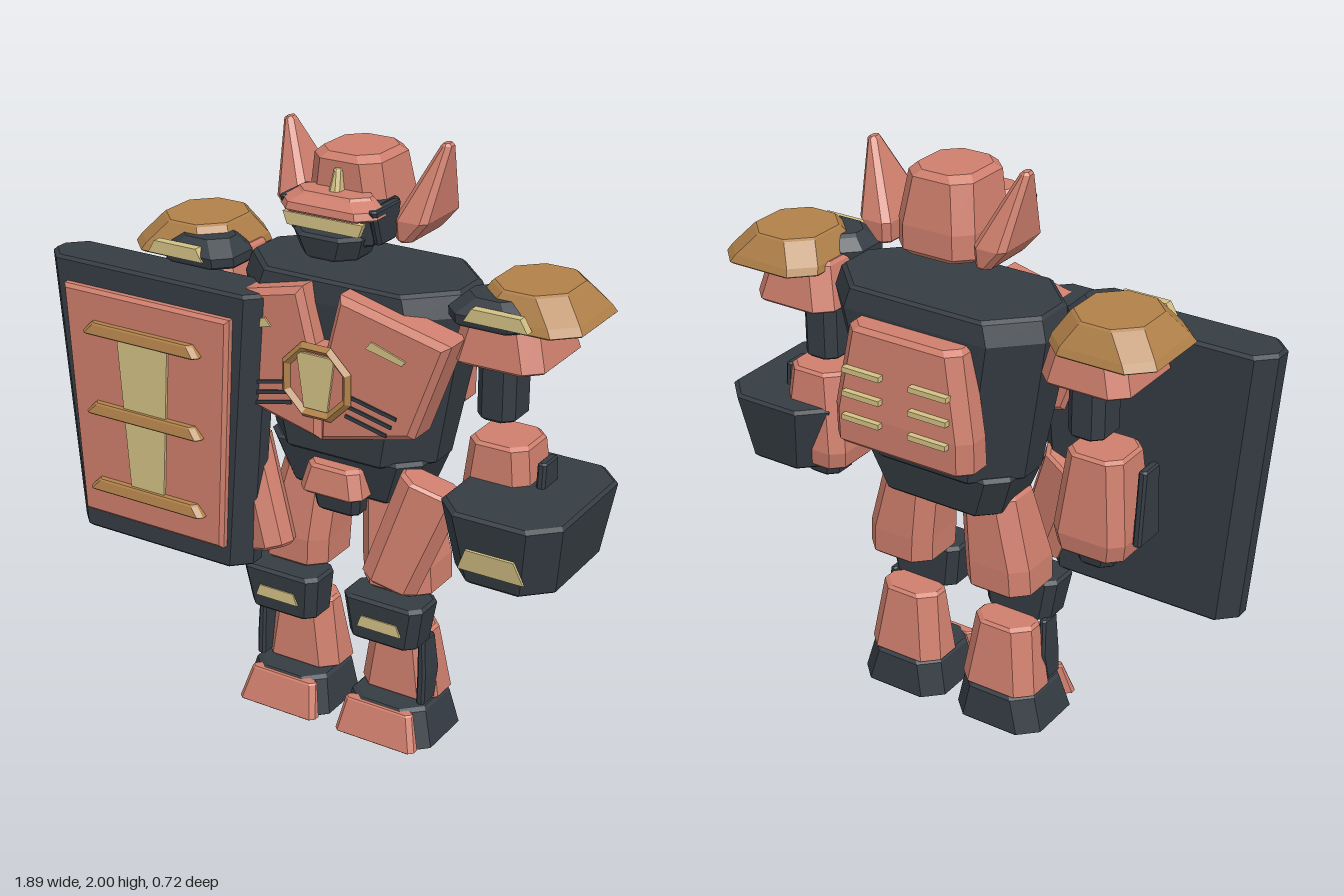
import * as THREE from 'three';

const paint = (name, color) => {
  const m = new THREE.MeshStandardMaterial({ color });
  m.name = name;
  m.flatShading = true;
  return m;
};

export function createModel() {
  const coral = paint('coral armour', 0xcf7f6d);
  const dark = paint('dark slate', 0x353c43);
  const bronze = paint('bronze', 0xb08049);
  const yellow = paint('pale yellow', 0xd3c184);

  const root = new THREE.Group();
  root.name = 'armouredRobot';
  const body = new THREE.Group();
  body.name = 'body';
  body.position.x = 0.08;
  root.add(body);

  const add = (parent, name, geo, mat) => {
    const mesh = new THREE.Mesh(geo, mat);
    mesh.name = name;
    parent.add(mesh);
    return mesh;
  };

  // Chamfered block lofted upwards through rings [y, x, z, width, depth]
  function block(parent, name, mat, rings, chamfer = 0.04, b = 0.01) {
    const n = rings.length;
    const inset = (r) => [r[0], r[1], r[2], r[3] - 2 * b, r[4] - 2 * b];
    const lift = (r, dy) => [r[0] + dy, r[1], r[2], r[3], r[4]];
    const all = [inset(rings[0]), lift(rings[0], b), ...rings.slice(1, n - 1),
      lift(rings[n - 1], -b), inset(rings[n - 1])];
    const pos = [], idx = [];
    for (const [y, x, z, w, d] of all) {
      const c = Math.min(chamfer, w * 0.4, d * 0.4), p = w / 2, q = d / 2;
      const pts = [[p, -q + c], [p, q - c], [p - c, q], [-p + c, q],
        [-p, q - c], [-p, -q + c], [-p + c, -q], [p - c, -q]];
      for (const [u, v] of pts) pos.push(x + u, y, z + v);
    }
    const top = (all.length - 1) * 8;
    for (let r = 0; r < top; r += 8) {
      for (let i = 0; i < 8; i++) {
        const j = (i + 1) % 8;
        idx.push(r + j, r + i, r + 8 + i, r + j, r + 8 + i, r + 8 + j);
      }
    }
    for (let i = 1; i < 7; i++) {
      idx.push(0, i, i + 1, top, top + i + 1, top + i);
    }
    let g = new THREE.BufferGeometry();
    g.setAttribute('position', new THREE.Float32BufferAttribute(pos, 3));
    g.setIndex(idx);
    g = g.toNonIndexed();
    g.computeVertexNormals();
    return add(parent, name, g, mat);
  }

  // Flat polygon in x, y, extruded from z forwards
  function plate(parent, name, mat, pts, z, depth, bevel = 0) {
    const g = new THREE.ExtrudeGeometry(new THREE.Shape(pts.map((p) => new THREE.Vector2(...p))), {
      depth: depth - 2 * bevel, bevelEnabled: bevel > 0, bevelSize: bevel,
      bevelThickness: bevel, bevelOffset: -bevel, bevelSegments: 1,
    });
    g.translate(0, 0, z + bevel);
    return add(parent, name, g, mat);
  }
  const trapezoid = (x, y0, y1, w0, w1) =>
    [[x - w0 / 2, y0], [x + w0 / 2, y0], [x + w1 / 2, y1], [x - w1 / 2, y1]];

  function bar(parent, name, mat, size, at, rot = [0, 0, 0]) {
    const m = add(parent, name, new THREE.BoxGeometry(...size), mat);
    m.position.set(...at);
    m.rotation.set(...rot);
    return m;
  }

  // Torso and hips
  block(body, 'torso', dark, [[0.98, 0, -0.02, 0.6, 0.36], [1.5, 0, -0.03, 0.79, 0.42], [1.575, 0, -0.03, 0.75, 0.4]], 0.13);
  block(body, 'pelvis', dark, [[0.84, 0, -0.02, 0.46, 0.27], [1.0, 0, -0.02, 0.56, 0.32]], 0.06);
  block(body, 'crotchGuard', dark, [[0.78, 0, 0.08, 0.16, 0.14], [0.87, 0, 0.08, 0.18, 0.16]], 0.02);
  block(body, 'beltBuckle', coral, [[0.855, 0, 0.12, 0.23, 0.16], [0.955, 0, 0.12, 0.19, 0.13]], 0.03);

  // Chest badge
  const ring = add(body, 'badgeRing', new THREE.TorusGeometry(0.118, 0.016, 4, 8), bronze);
  ring.position.set(0, 1.275, 0.255);
  ring.rotation.z = Math.PI / 8;
  const disc = add(body, 'badgeDisc', new THREE.CylinderGeometry(0.118, 0.118, 0.1, 8), coral);
  disc.position.set(0, 1.275, 0.205);
  disc.rotation.set(Math.PI / 2, Math.PI / 8, 0);
  plate(body, 'badgeShield', yellow, trapezoid(0, 1.185, 1.365, 0.085, 0.135), 0.254, 0.009);

  // Backpack with vents
  block(body, 'backpack', coral, [[1.08, 0, -0.26, 0.52, 0.15], [1.2, 0, -0.265, 0.52, 0.145], [1.49, 0, -0.25, 0.42, 0.14]], 0.04, 0.015);

  // Head
  block(body, 'helmet', coral, [[1.69, 0, -0.08, 0.28, 0.16], [1.79, 0, -0.02, 0.28, 0.28], [1.96, 0, -0.005, 0.235, 0.26]], 0.05, 0.02);
  block(body, 'face', dark, [[1.7, 0, 0.09, 0.27, 0.2], [1.83, 0, 0.09, 0.3, 0.22]], 0.04);
  block(body, 'chin', dark, [[1.66, 0, 0.14, 0.2, 0.18], [1.74, 0, 0.14, 0.24, 0.2]], 0.05);
  block(body, 'brow', coral, [[1.795, 0, 0.16, 0.34, 0.15], [1.825, 0, 0.16, 0.33, 0.14], [1.855, 0, 0.14, 0.26, 0.12]], 0.05, 0.008);
  plate(body, 'visor', yellow, trapezoid(0, 1.75, 1.79, 0.25, 0.28), 0.2, 0.02);
  block(body, 'crest', yellow, [[1.84, 0, 0.14, 0.04, 0.05], [1.92, 0, 0.13, 0.025, 0.03]], 0.01, 0.004);

  for (const s of [1, -1]) {
    const side = new THREE.Group();
    side.name = s > 0 ? 'leftSide' : 'rightSide';
    body.add(side);
    const flip = (pts) => pts.map(([x, y]) => [x * s, y]);

    // Horn and cheek guard
    block(side, 'horn', coral, [[1.7, s * 0.185, -0.04, 0.06, 0.22], [1.77, s * 0.21, -0.04, 0.115, 0.23], [2.0, s * 0.277, -0.04, 0.035, 0.05]], 0.02, 0.008);
    block(side, 'cheekGuard', dark, [[1.71, s * 0.145, 0.1, 0.03, 0.1], [1.83, s * 0.155, 0.12, 0.03, 0.16]], 0.01, 0.005);

    // Chest plate, vent and stripes
    plate(side, 'chestPlate', coral, flip([[0, 1.07], [0.33, 1.15], [0.45, 1.475], [0.067, 1.565], [0, 1.3]]), 0.11, 0.135, 0.02);
    plate(side, 'chestVent', yellow, flip([[0.17, 1.42], [0.295, 1.39], [0.31, 1.405], [0.19, 1.445]]), 0.245, 0.006);
    for (let i = 0; i < 3; i++) {
      bar(side, 'chestStripe', dark, [0.17 - i * 0.01, 0.012, 0.008], [s * (0.195 - i * 0.012), 1.23 - i * 0.032, 0.246], [0, 0, -0.22 * s]);
      bar(side, 'backVent', yellow, [0.14, 0.018, 0.03], [s * 0.125, 1.19 + i * 0.08, -0.343 + i * 0.004]);
    }

    // Shoulder
    block(side, 'shoulderPad', bronze, [[1.53, s * 0.615, -0.035, 0.37, 0.38], [1.56, s * 0.61, -0.035, 0.35, 0.36], [1.635, s * 0.6, -0.035, 0.25, 0.28]], 0.07, 0.006);
    block(side, 'shoulderArmour', coral, [[1.4, s * 0.545, -0.005, 0.31, 0.34], [1.56, s * 0.54, -0.005, 0.24, 0.29]], 0.05);
    block(side, 'shoulderFrontBlock', dark, [[1.525, s * 0.52, 0.08, 0.27, 0.2], [1.565, s * 0.52, 0.08, 0.27, 0.21], [1.61, s * 0.52, 0.07, 0.2, 0.16]], 0.05);
    plate(side, 'shoulderLight', yellow, trapezoid(s * 0.57, 1.55, 1.592, 0.21, 0.16), 0.16, 0.03);

    // Arm
    block(side, 'upperArm', dark, [[1.19, s * 0.508, -0.005, 0.13, 0.15], [1.44, s * 0.508, -0.005, 0.13, 0.15]], 0.03);
    block(side, 'forearm', coral, [[0.79, s * 0.54, 0.01, 0.24, 0.22], [0.86, s * 0.54, 0.01, 0.26, 0.24], [1.14, s * 0.54, 0.015, 0.2, 0.2]], 0.04);
    block(side, 'hand', dark, [[0.735, s * 0.54, 0.01, 0.13, 0.13], [0.81, s * 0.54, 0.01, 0.15, 0.15]], 0.03);
    block(side, 'forearmRail', dark, [[0.84, s * 0.685, 0.035, 0.03, 0.13], [1.1, s * 0.685, 0.035, 0.03, 0.09]], 0.008, 0.006);

    // Leg
    block(side, 'foot', dark, [[0.005, s * 0.195, 0.045, 0.335, 0.31], [0.145, s * 0.19, 0.04, 0.28, 0.28]], 0.06);
    block(side, 'toePlate', coral, [[0.02, s * 0.19, 0.2, 0.3, 0.05], [0.14, s * 0.185, 0.172, 0.25, 0.04]], 0.015, 0.005);
    block(side, 'shin', coral, [[0.14, s * 0.19, 0, 0.285, 0.19], [0.39, s * 0.19, 0.01, 0.22, 0.15]], 0.05);
    block(side, 'shinRail', dark, [[0.155, s * 0.31, 0.09, 0.03, 0.08], [0.26, s * 0.31, 0.075, 0.03, 0.1], [0.39, s * 0.305, 0.08, 0.025, 0.08]], 0.008, 0.005);
    block(side, 'knee', dark, [[0.375, s * 0.19, 0.12, 0.25, 0.14], [0.535, s * 0.195, 0.125, 0.29, 0.155]], 0.03);
    plate(side, 'kneeLight', yellow, trapezoid(s * 0.195, 0.43, 0.47, 0.16, 0.13), 0.18, 0.022);
    block(side, 'thigh', coral, [[0.54, s * 0.195, 0.012, 0.25, 0.235], [0.64, s * 0.19, 0.012, 0.25, 0.24], [0.89, s * 0.15, 0, 0.21, 0.2]], 0.05);
    const skirt = block(side, 'hipSkirt', coral, [[-0.19, 0, 0, 0.19, 0.13], [0.19, 0, 0, 0.21, 0.13]], 0.04);
    skirt.position.set(s * 0.29, 0.795, 0.16);
    skirt.rotation.set(0, s * 0.3, -s * 0.36);
  }

  // Gauntlet on the left arm
  block(root, 'gauntlet', dark, [[0.775, 0.74, 0.095, 0.34, 0.46], [1.02, 0.74, 0.095, 0.405, 0.535]], 0.08);
  const light = plate(root, 'gauntletLight', yellow, trapezoid(0, -0.037, 0.037, 0.22, 0.16), 0, 0.008);
  light.position.set(0.74, 0.868, 0.341);
  light.rotation.x = 0.15;

  // Shield on the right arm
  block(root, 'shield', dark, [[0.555, -0.526, 0.21, 0.69, 0.16], [1.515, -0.526, 0.205, 0.84, 0.17]], 0.055);
  plate(root, 'shieldPanel', coral, trapezoid(-0.525, 0.635, 1.435, 0.56, 0.645), 0.27, 0.05, 0.012);
  plate(root, 'shieldStripe', yellow, trapezoid(-0.53, 0.76, 1.31, 0.13, 0.2), 0.32, 0.009);
  for (const y of [0.755, 1.03, 1.31]) {
    block(root, 'shieldBar', bronze, [[y - 0.018, -0.53, 0.325, 0.455, 0.055], [y + 0.022, -0.53, 0.322, 0.4, 0.045]], 0.015, 0.005);
  }
  return root;
}
